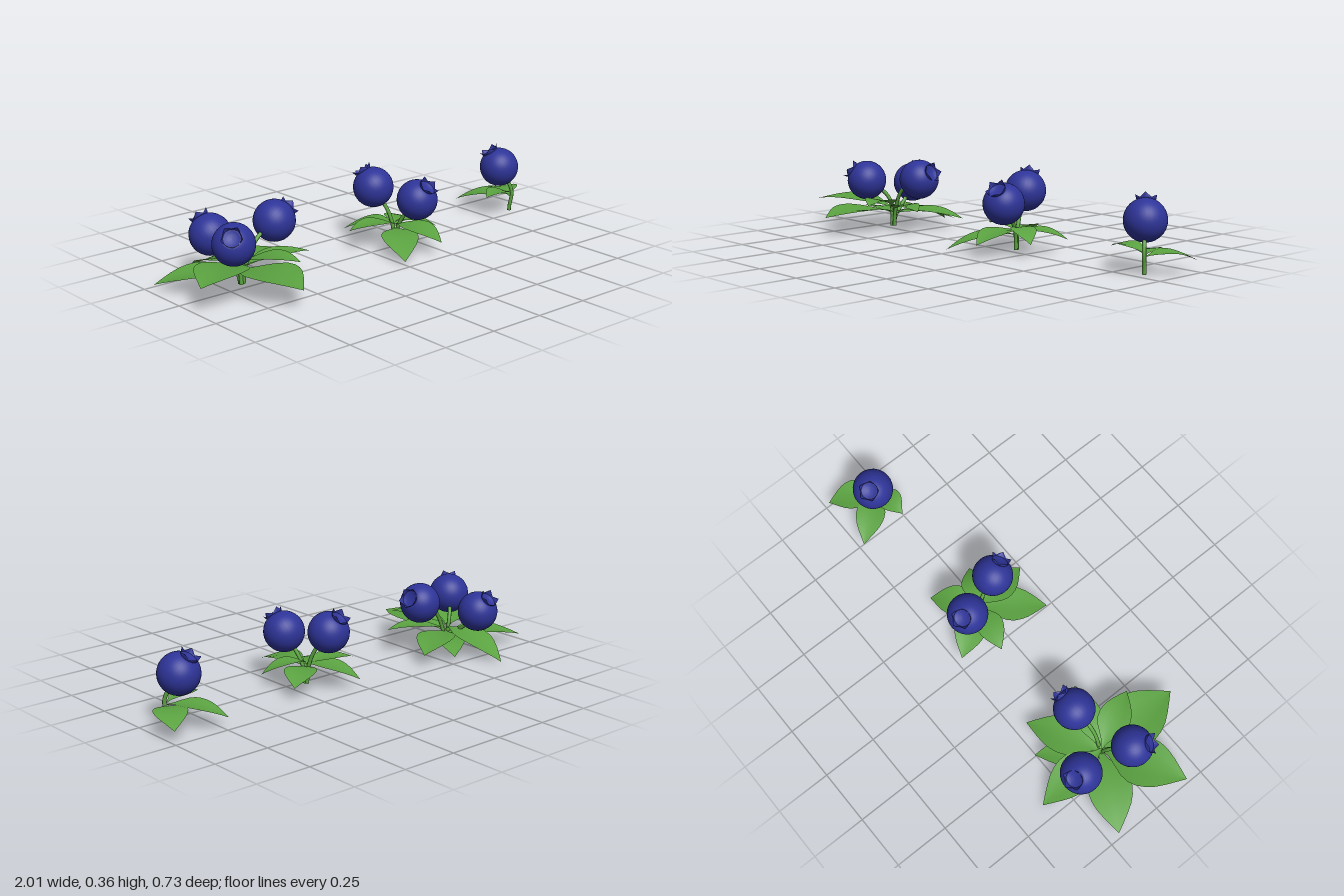
import * as THREE from 'three';

const leafMat = new THREE.MeshStandardMaterial({ color: 0x5ba341, side: THREE.DoubleSide });
const stemMat = new THREE.MeshStandardMaterial({ color: 0x5ba341 });
const berryMat = new THREE.MeshStandardMaterial({ color: 0x2e3498 });
const crownMat = new THREE.MeshStandardMaterial({ color: 0x2e3498, side: THREE.DoubleSide });
const R = 0.089; // berry radius
const V = (a) => new THREE.Vector3(...a);

// Round fruit with a shallow pit at the top
function berryGeometry() {
  const pts = [];
  const rim = THREE.MathUtils.degToRad(24);
  for (let i = 0; i <= 24; i++) {
    const a = Math.PI - (Math.PI - rim) * i / 24;
    pts.push(new THREE.Vector2(Math.max(0, R * Math.sin(a)), R * Math.cos(a)));
  }
  pts.push(new THREE.Vector2(0.031, 0.077), new THREE.Vector2(0.016, 0.073), new THREE.Vector2(0, 0.072));
  return new THREE.LatheGeometry(pts, 32);
}

// Low flared collar carrying five pointed sepals
function crownGeometry() {
  const pos = [], teeth = 5, steps = 4;
  const ring = (turn, r, y) => [r * Math.sin(turn * Math.PI * 2), y, r * Math.cos(turn * Math.PI * 2)];
  const n = teeth * steps;
  for (let i = 0; i < n; i++) {
    const u = i / n, v = (i + 1) / n;
    const a = ring(u, 0.036, 0.08), b = ring(v, 0.036, 0.08);
    const c = ring(u, 0.039, 0.086), d = ring(v, 0.039, 0.086);
    const tip = ring((Math.floor(i / steps) + 0.5) / teeth, 0.046, 0.103);
    pos.push(...a, ...b, ...c, ...b, ...d, ...c, ...c, ...d, ...tip);
  }
  const g = new THREE.BufferGeometry();
  g.setAttribute('position', new THREE.Float32BufferAttribute(pos, 3));
  g.computeVertexNormals();
  return g;
}

// Arched blade from base to tip: cross-sections swept along a curve
const outline = [0.06, 0.2, 0.5, 0.8, 0.97, 1, 0.93, 0.78, 0.55, 0.28, 0];
function leafGeometry(base, tip, width) {
  const mid = base.clone().lerp(tip, 0.5);
  mid.y = Math.max(base.y, tip.y) * 0.5 + mid.y * 0.5 + 0.04;
  const curve = new THREE.QuadraticBezierCurve3(base, mid, tip);
  const side = new THREE.Vector3(tip.z - base.z, 0, base.x - tip.x).normalize();
  const rows = outline.length, cols = 5, pos = [], idx = [];
  outline.forEach((w, i) => {
    const c = curve.getPoint(i / (rows - 1));
    for (let j = 0; j < cols; j++) {
      const u = (j / (cols - 1)) * 2 - 1;
      const p = c.clone().addScaledVector(side, u * w * width / 2);
      pos.push(p.x, p.y + 0.06 * width * w * Math.abs(u), p.z);
      if (i < rows - 1 && j < cols - 1) {
        const a = i * cols + j, b = a + cols;
        idx.push(a, a + 1, b, b, a + 1, b + 1);
      }
    }
  });
  const g = new THREE.BufferGeometry();
  g.setAttribute('position', new THREE.Float32BufferAttribute(pos, 3));
  g.setIndex(idx);
  g.computeVertexNormals();
  // Make the front faces point upward
  if (g.attributes.normal.getY(cols * 5 + 2) < 0) {
    g.setIndex(idx.reverse());
    g.computeVertexNormals();
  }
  return g;
}

// base: stem foot; berries: [centre, crown direction]; leaves: [tip, width, base height]
const sprigs = [
  {
    name: 'threeBerrySprig', base: [-0.67, 0.005, -0.033],
    berries: [
      [[-0.712, 0.19, -0.187], [-0.15, 0.75, -0.62]],
      [[-0.762, 0.216, 0.047], [-0.52, 0.55, 0.6]],
      [[-0.491, 0.239, -0.042], [0.87, 0.42, -0.12]],
    ],
    leaves: [
      [[-0.685, 0, -0.367], 0.17, 0.09], [[-0.66, 0.085, 0.365], 0.24, 0.07],
      [[-0.985, 0.03, -0.2], 0.19, 0.06], [[-1, 0.115, 0.155], 0.22, 0.09],
      [[-0.37, 0.055, -0.2], 0.17, 0.07], [[-0.5, 0.035, -0.26], 0.13, 0.06],
      [[-0.55, 0.135, 0.207], 0.14, 0.1], [[-0.387, 0.11, 0.055], 0.12, 0.08],
    ],
  },
  {
    name: 'twoBerrySprig', base: [0.165, 0.005, -0.03],
    berries: [
      [[0.12, 0.246, -0.125], [-0.25, 0.8, -0.53]],
      [[0.198, 0.218, 0.076], [0.15, 0.75, 0.6]],
    ],
    leaves: [
      [[-0.055, 0.09, -0.08], 0.12, 0.09], [[0.34, 0.055, -0.165], 0.14, 0.08],
      [[0.34, 0.06, 0.055], 0.11, 0.1], [[0.035, 0.045, -0.23], 0.14, 0.09],
      [[0, 0.015, 0.222], 0.16, 0.07], [[0.2, 0.06, 0.233], 0.15, 0.09],
    ],
  },
  {
    name: 'oneBerrySprig', base: [0.888, 0.005, -0.035],
    berries: [[[0.854, 0.214, -0.075], [-0.32, 0.83, -0.4]]],
    leaves: [
      [[0.733, 0.045, -0.235], 0.13, 0.08], [[0.993, 0.05, -0.235], 0.14, 0.075],
      [[0.722, 0.1, -0.022], 0.11, 0.09],
    ],
  },
];

export function createModel() {
  const model = new THREE.Group();
  const fruitGeo = berryGeometry(), crownGeo = crownGeometry();
  const add = (parent, name, geo, mat) => {
    const m = new THREE.Mesh(geo, mat);
    m.name = name;
    parent.add(m);
    return m;
  };

  for (const s of sprigs) {
    const sprig = new THREE.Group();
    sprig.name = s.name;
    model.add(sprig);
    const base = V(s.base);

    s.berries.forEach(([c, d]) => {
      const centre = V(c), dir = V(d).normalize();
      const berry = new THREE.Group();
      berry.name = 'berry';
      berry.position.copy(centre);
      berry.quaternion.setFromUnitVectors(new THREE.Vector3(0, 1, 0), dir);
      add(berry, 'fruit', fruitGeo, berryMat);
      add(berry, 'crown', crownGeo, crownMat);
      sprig.add(berry);

      // Stem rises from the foot and enters the fruit opposite its crown
      const end = centre.clone().addScaledVector(dir, -0.085);
      const foot = base.clone();
      if (s.berries.length > 1) foot.lerp(new THREE.Vector3(end.x, foot.y, end.z), 0.09);
      const rise = foot.clone();
      rise.y += 0.06;
      const bend = end.clone().addScaledVector(dir, -0.07);
      const path = new THREE.CubicBezierCurve3(foot, rise, bend, end);
      add(sprig, 'stem', new THREE.TubeGeometry(path, 14, 0.0085, 8), stemMat);
      const cap = add(sprig, 'stemEnd', new THREE.CircleGeometry(0.0085, 8), stemMat);
      cap.position.copy(foot);
      cap.rotation.x = Math.PI / 2;
    });

    s.leaves.forEach(([tip, width, y]) => {
      const start = new THREE.Vector3(base.x, y, base.z);
      add(sprig, 'leaf', leafGeometry(start, V(tip), width), leafMat);
    });
  }
  return model;
}
